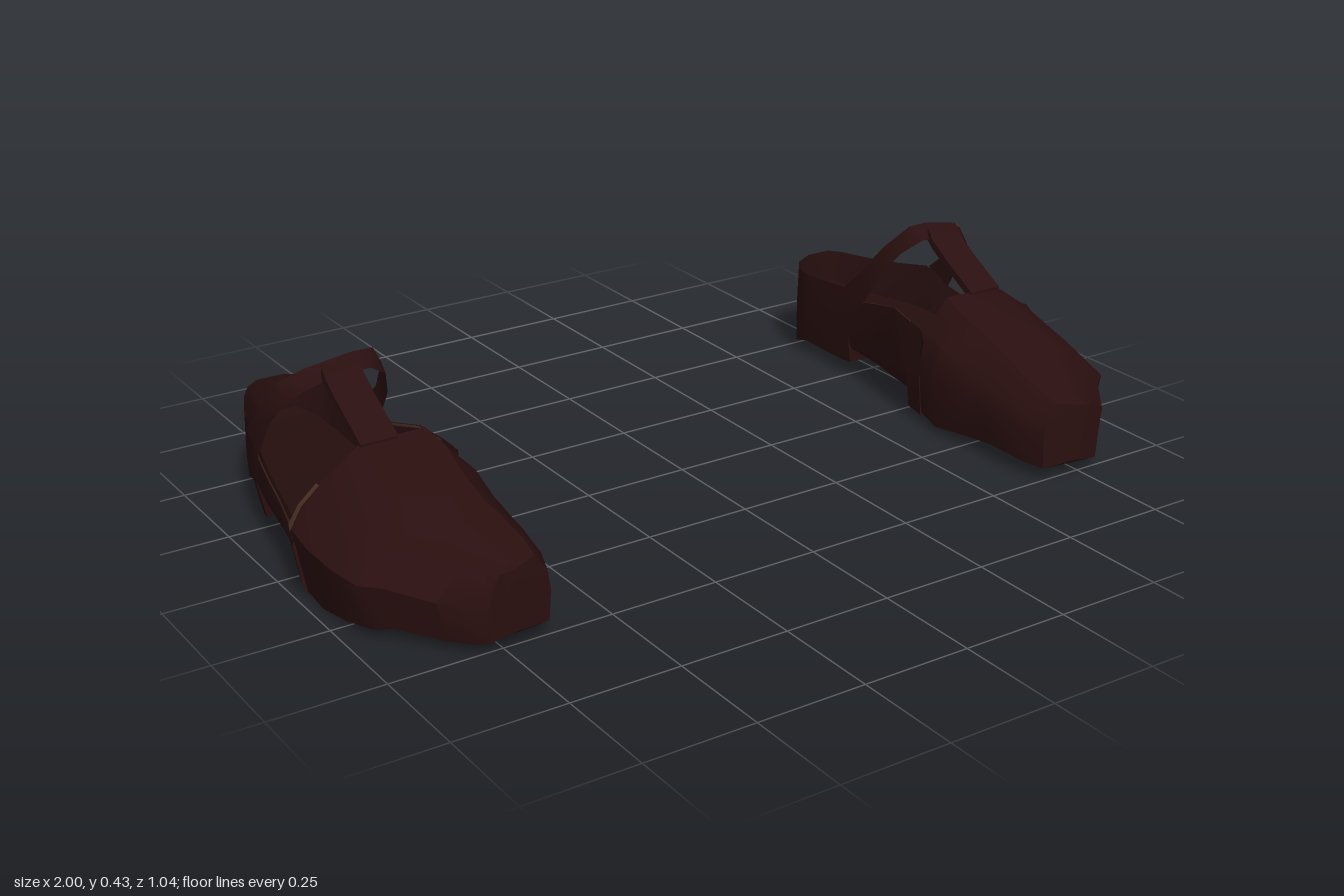
import * as THREE from 'three';
import { toCreasedNormals } from 'three/addons/utils/BufferGeometryUtils.js';

const mat = (name, color) => {
  const m = new THREE.MeshStandardMaterial({ color, side: THREE.DoubleSide });
  m.name = name;
  return m;
};

// Skin between successive chains of [x, y, z] points; side = -1 mirrors in x
function loft(rings, side, { closed = false, capStart = false, capEnd = false } = {}) {
  const pos = [];
  const tri = (a, b, c) => {
    for (const p of side > 0 ? [a, b, c] : [a, c, b]) pos.push(p[0] * side, p[1], p[2]);
  };
  const n = rings[0].length;
  for (let i = 0; i + 1 < rings.length; i++) {
    for (let j = 0; j < (closed ? n : n - 1); j++) {
      const k = (j + 1) % n;
      const a = rings[i][j], b = rings[i][k], c = rings[i + 1][k], d = rings[i + 1][j];
      tri(a, b, c);
      tri(a, c, d);
    }
  }
  const cap = (r, flip) => {
    const mid = [0, 1, 2].map(k => r.reduce((s, p) => s + p[k], 0) / n);
    for (let j = 0; j < n; j++) {
      const a = r[j], b = r[(j + 1) % n];
      flip ? tri(mid, b, a) : tri(mid, a, b);
    }
  };
  if (capStart) cap(rings[0], true);
  if (capEnd) cap(rings.at(-1), false);
  const g = new THREE.BufferGeometry();
  g.setAttribute('position', new THREE.Float32BufferAttribute(pos, 3));
  return toCreasedNormals(g, 0.7);
}

// Toe box stations: z, inner x, outer x, bottom y, top y
const VAMP = [
  [0.518, 0.72, 0.79, 0.03, 0.172], [0.5, 0.64, 0.81, 0.02, 0.18], [0.45, 0.622, 0.865, 0.022, 0.195],
  [0.36, 0.612, 0.935, 0.027, 0.218], [0.33, 0.612, 0.974, 0.024, 0.228], [0.25, 0.61, 0.992, 0.012, 0.254],
  [0.16, 0.6, 1.0, 0.0, 0.286], [0.09, 0.614, 1.0, 0.01, 0.306],
];
const vampRing = ([z, xi, xo, yb, yt]) => {
  const w = xo - xi, h = yt - yb;
  return [
    [0.93, 0], [1, 0.5], [0.82, 0.78], [0.59, 0.99], [0.2, 1], [0.04, 0.76], [0, 0.48], [0.03, 0.06],
  ].map(([u, v]) => [xi + u * w, yb + v * h, z]);
};

// Open back stations: z, inner x, outer x, bottom y, inner rim y, outer rim y, floor y, rim inset
const BACK = [
  [0.09, 0.614, 1.0, 0.01, 0.235, 0.24, 0.095, 0.065], [0.068, 0.617, 0.993, 0.012, 0.24, 0.155, 0.1, 0.012],
  [0.037, 0.62, 0.985, 0.015, 0.243, 0.155, 0.103, 0.008], [0.035, 0.62, 0.985, 0.06, 0.243, 0.155, 0.103, 0.008],
  [-0.04, 0.634, 0.967, 0.06, 0.25, 0.165, 0.11, 0.006], [-0.12, 0.648, 0.953, 0.062, 0.23, 0.178, 0.118, 0.004],
  [-0.2, 0.655, 0.94, 0.064, 0.212, 0.2, 0.125, 0.003], [-0.238, 0.655, 0.934, 0.065, 0.22, 0.224, 0.128, 0.003],
  [-0.24, 0.655, 0.934, 0.028, 0.22, 0.226, 0.128, 0.003], [-0.27, 0.655, 0.928, 0.024, 0.232, 0.234, 0.13, 0.003],
  [-0.35, 0.655, 0.905, 0.024, 0.222, 0.222, 0.132, 0.003], [-0.42, 0.657, 0.878, 0.025, 0.218, 0.218, 0.135, 0.003],
  [-0.465, 0.664, 0.858, 0.026, 0.218, 0.218, 0.14, 0.003], [-0.467, 0.665, 0.857, 0.06, 0.218, 0.218, 0.14, 0.003],
  [-0.5, 0.69, 0.835, 0.115, 0.222, 0.222, 0.15, 0.003], [-0.52, 0.735, 0.805, 0.165, 0.226, 0.226, 0.224, 0.003],
];
const shellRing = ([z, xi, xo, yb, ri, ro, , inset]) => {
  const t = z < -0.46 ? 0 : 0.02;
  const mid = Math.max(0.12, yb + 0.01);
  return [[xi + 0.004, ri, z], [xi, mid, z], [xi + t * 0.5, yb + t * 0.5, z],
    [xo - t, yb, z], [xo, mid, z], [xo - inset, ro, z]].reverse();
};
const liningRing = ([z, xi, xo, , ri, ro, yf, inset]) => {
  const e = Math.min(0.03, (xo - xi) * 0.2);
  return [[xo - inset, ro, z], [xo - Math.max(inset, e * 0.6), (ro + yf) / 2, z], [xo - e, yf, z],
    [xi + e, yf, z], [xi + e * 0.6, (ri + yf) / 2, z], [xi + 0.004, ri, z]];
};

// Instep strap: front edge and back edge of the ribbon across the foot
const STRAP = [
  [[0.662, 0.195, -0.2], [0.662, 0.228, -0.27]],
  [[0.665, 0.3, -0.132], [0.66, 0.29, -0.2]],
  [[0.69, 0.365, -0.085], [0.675, 0.37, -0.135]],
  [[0.735, 0.395, -0.062], [0.715, 0.428, -0.088]],
  [[0.8, 0.395, -0.062], [0.765, 0.43, -0.085]],
  [[0.87, 0.375, -0.072], [0.865, 0.405, -0.11]],
  [[0.91, 0.345, -0.1], [0.915, 0.375, -0.135]],
  [[0.932, 0.29, -0.14], [0.938, 0.29, -0.2]],
  [[0.94, 0.195, -0.2], [0.935, 0.23, -0.27]],
];

// Narrow trim ribbon along [x, y, z] points
const trim = (pts, side, h = 0.011) => loft(pts.map(([x, y, z]) => [[x, y, z], [x, y + h, z]]), side);

function makeShoe(name, side, m) {
  const shoe = new THREE.Group();
  shoe.name = name;
  const add = (part, geometry, material) => {
    const mesh = new THREE.Mesh(geometry, material);
    mesh.name = part;
    shoe.add(mesh);
  };

  add('toeBox', loft(VAMP.map(vampRing), side, { closed: true, capStart: true }), m.leather);
  add('heelShell', loft(BACK.map(shellRing), side, { capEnd: true }), m.leather);
  add('lining', loft(BACK.map(liningRing), side), m.lining);

  // Insole running forward under the toe box
  add('insoleFront', loft([0.09, 0.3].map(z => [[0.97, 0.095, z], [0.64, 0.095, z]]), side), m.lining);

  // Instep strap and the central bar joining it to the toe box
  add('instepStrap', loft(STRAP, side), m.leather);
  const bar = [[0.1, 0.286, 0.306], [0, 0.343, 0.363], [-0.05, 0.374, 0.396], [-0.07, 0.392, 0.42]];
  add('centreBar', loft(bar.map(([z, lo, hi]) => [
    [0.842, lo, z], [0.842, hi, z], [0.757, hi, z], [0.757, lo, z],
  ]), side, { closed: true, capStart: true, capEnd: true }), m.leather);

  // Pale edging around the opening and the heel
  const outerEdge = BACK.slice(1, 7).map(([z, , xo, , , ro, , inset]) => [xo - inset + 0.004, ro - 0.011, z]);
  add('outerEdging', trim(outerEdge, side), m.edging);
  add('vampEdging', loft([
    [[0.937, 0.24, 0.098], [0.937, 0.24, 0.084]],
    [[0.975, 0.2, 0.09], [0.975, 0.2, 0.076]],
    [[0.997, 0.145, 0.076], [0.993, 0.155, 0.062]],
  ], side), m.edging);
  const innerEdge = BACK.slice(2, 7).map(([z, xi, , , ri]) => [xi + 0.008, ri - 0.006, z]);
  add('innerEdging', trim(innerEdge, side, 0.006), m.edging);
  add('heelEdging', trim([
    [0.896, 0.166, -0.39], [0.882, 0.168, -0.42], [0.862, 0.171, -0.467], [0.839, 0.174, -0.502],
    [0.806, 0.176, -0.523], [0.734, 0.176, -0.523], [0.686, 0.174, -0.502],
  ], side), m.edging);
  return shoe;
}

export function createModel() {
  const m = {
    leather: mat('dark leather', 0x2a0f0f),
    lining: mat('dark lining', 0x240d0d),
    edging: mat('tan edging', 0x4a3024),
  };
  const model = new THREE.Group();
  model.name = 'strappedShoes';
  model.add(makeShoe('leftShoe', 1, m), makeShoe('rightShoe', -1, m));
  return model;
}
